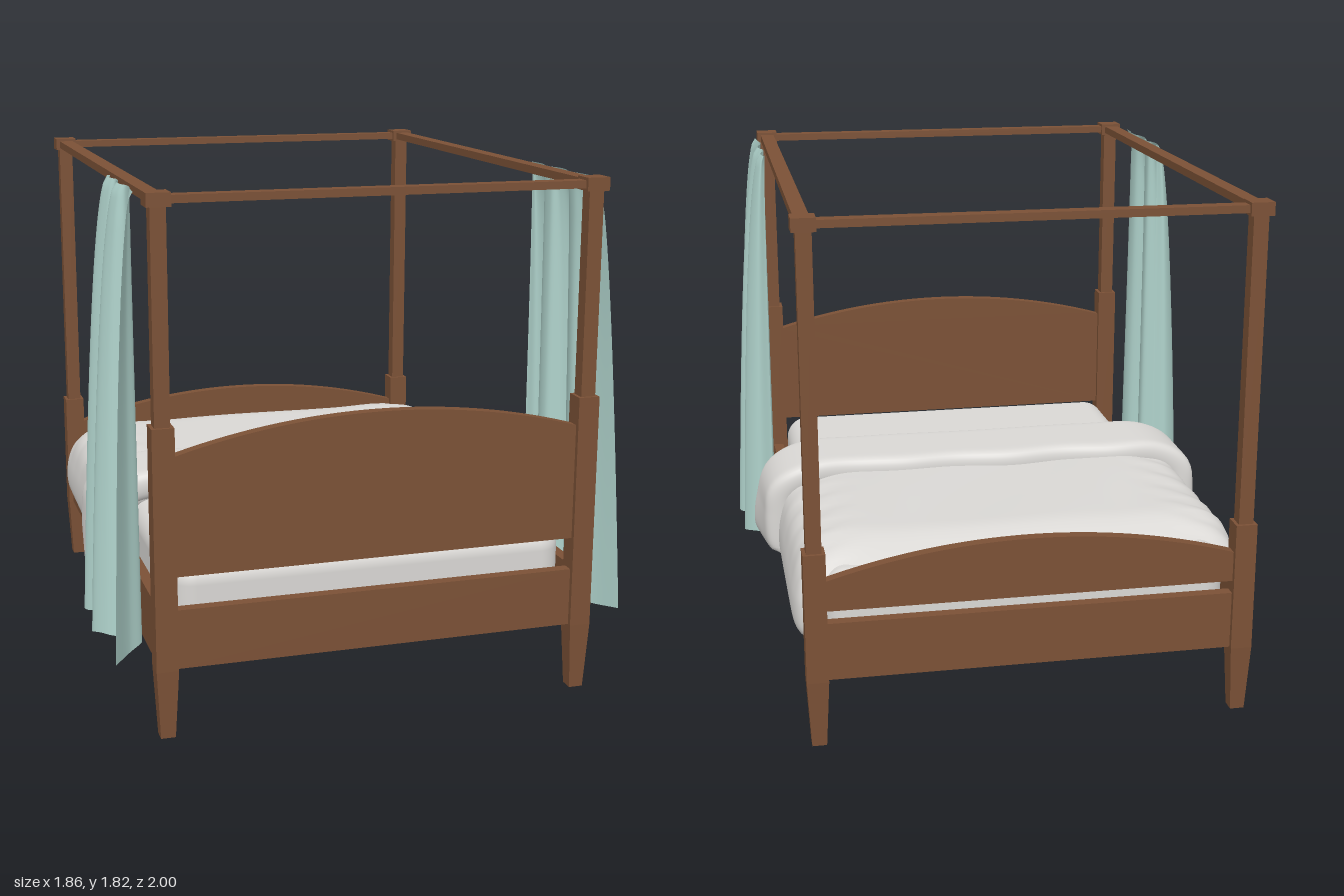
import * as THREE from 'three';
import { mergeVertices } from 'three/addons/utils/BufferGeometryUtils.js';
import { RoundedBoxGeometry } from 'three/addons/geometries/RoundedBoxGeometry.js';

const wood = new THREE.MeshStandardMaterial({ color: 0x7b5136 });
wood.name = 'wood';
const linen = new THREE.MeshStandardMaterial({ color: 0xdad8d5 });
linen.name = 'linen';
const drapery = new THREE.MeshStandardMaterial({ color: 0xafd2cb, side: THREE.DoubleSide });
drapery.name = 'drapery';

const POST_X = 0.74, POST_Z = 0.96;

function add(parent, name, geometry, material, x = 0, y = 0, z = 0) {
  const mesh = new THREE.Mesh(geometry, material);
  mesh.name = name;
  mesh.position.set(x, y, z);
  parent.add(mesh);
  return mesh;
}

// Box given by its size, with its underside at height y
function board(parent, name, w, h, d, x, y, z) {
  return add(parent, name, new THREE.BoxGeometry(w, h, d), wood, x, y + h / 2, z);
}

// Smooth surface from a rule fn(u, v) -> [x, y, z], u and v in 0..1
function surface(nu, nv, fn) {
  const positions = [], index = [];
  for (let i = 0; i <= nu; i++)
    for (let j = 0; j <= nv; j++) positions.push(...fn(i / nu, j / nv));
  for (let i = 0; i < nu; i++)
    for (let j = 0; j < nv; j++) {
      const a = i * (nv + 1) + j, b = a + nv + 1;
      index.push(a, b, a + 1, b, b + 1, a + 1);
    }
  let g = new THREE.BufferGeometry();
  g.setAttribute('position', new THREE.Float32BufferAttribute(positions, 3));
  g.setIndex(index);
  g = mergeVertices(g, 1e-5);
  g.computeVertexNormals();
  return g;
}

// Padded cloth: a flat rounded section swept over the bed from side to side
function drape(half, z0, z1, thick, bend) {
  const pts = [
    ...half.slice(1).reverse().map(([x, y]) => new THREE.Vector3(-x, y, 0)),
    ...half.map(([x, y]) => new THREE.Vector3(x, y, 0)),
  ];
  const path = new THREE.CatmullRomCurve3(pts);
  const zc = (z0 + z1) / 2, hz = (z1 - z0) / 2;
  return surface(110, 64, (u, v) => {
    const w = -Math.cos(Math.PI * u) * 0.35 + (2 * u - 1) * 0.65;
    const t = THREE.MathUtils.clamp((w + 1) / 2, 0, 1);
    const p = path.getPointAt(t), d = path.getTangentAt(t);
    const end = Math.sqrt(Math.max(0, 1 - Math.abs(w) ** 36));
    const c = Math.cos(v * Math.PI * 2), s = Math.sin(v * Math.PI * 2);
    const off = thick * end * Math.sign(s) * Math.sqrt(Math.max(0, 1 - Math.abs(c) ** 12));
    return bend(p.x - d.y * off, p.y + d.x * off, zc + hz * c * (0.93 + 0.07 * end), c);
  });
}

// Arched panel between two posts
function archedPanel(parent, name, bottom, side, crown, z) {
  const w = 0.71, rise = crown - side;
  const r = (w * w + rise * rise) / (2 * rise), a = Math.asin(w / r);
  const shape = new THREE.Shape();
  shape.moveTo(-w, bottom);
  shape.lineTo(w, bottom);
  shape.lineTo(w, side);
  shape.absarc(0, crown - r, r, Math.PI / 2 - a, Math.PI / 2 + a, false);
  shape.closePath();
  const g = new THREE.ExtrudeGeometry(shape, { depth: 0.04, bevelEnabled: false, curveSegments: 32 });
  add(parent, name, g, wood, 0, 0, z - 0.02);
}

function makePost(x, z, sleeveTop) {
  const post = new THREE.Group();
  post.name = 'post';
  post.position.set(x, 0, z);
  const leg = new THREE.CylinderGeometry(0.075 / Math.SQRT2, 0.05 / Math.SQRT2, 0.24, 4, 1).toNonIndexed();
  leg.rotateY(Math.PI / 4);
  leg.computeVertexNormals();
  add(post, 'taperedLeg', leg, wood, 0, 0.12, 0);
  board(post, 'postSleeve', 0.075, sleeveTop - 0.24, 0.075, 0, 0.24, 0);
  board(post, 'upperPost', 0.052, 1.78 - sleeveTop, 0.052, 0, sleeveTop, 0);
  board(post, 'postCap', 0.08, 0.045, 0.08, 0, 1.77, 0);
  return post;
}

// Curtain: folded hem line, gathered flat towards the canopy rail
function makeCurtain(side) {
  const hem = new THREE.CatmullRomCurve3([
    [0.80, 0.35], [0.86, 0.335], [0.92, 0.40], [0.87, 0.46], [0.79, 0.49],
    [0.795, 0.55], [0.87, 0.58], [0.93, 0.63], [0.89, 0.69], [0.80, 0.73],
    [0.785, 0.79], [0.84, 0.85], [0.905, 0.965],
  ].map(([x, z]) => new THREE.Vector3(x, 0, z)));
  return surface(120, 36, (u, v) => {
    const t = v * v * 0.5 + v * 0.5;
    const p = hem.getPoint(u);
    const spread = 0.12 + 0.88 * Math.sqrt(t);
    const zTop = 0.365 + (p.z - 0.34) * 0.79;
    const z = THREE.MathUtils.lerp(zTop, p.z, Math.min(1, 0.12 * Math.min(1, t * 12) + 0.88 * t));
    const x = 0.778 + (p.x - 0.778) * spread;
    const bottom = 0.26 + 0.012 * Math.sin(u * 17) ** 2;
    return [side * x, THREE.MathUtils.lerp(1.803, bottom, t), z];
  });
}

export function createModel() {
  const model = new THREE.Group();
  model.name = 'canopyBed';

  // Posts, side rails and canopy
  for (const sx of [-1, 1]) {
    model.add(makePost(sx * POST_X, POST_Z, 1.067));
    model.add(makePost(sx * POST_X, -POST_Z, 0.70));
    board(model, 'sideRail', 0.04, 0.205, 1.86, sx * POST_X, 0.24, 0);
    board(model, 'canopySideRail', 0.052, 0.028, 1.86, sx * POST_X, 1.778, 0);
  }
  for (const sz of [-1, 1]) {
    board(model, 'endRail', 1.42, 0.205, 0.04, 0, 0.24, sz * POST_Z);
    board(model, 'canopyEndRail', 1.42, 0.026, 0.052, 0, 1.779, sz * POST_Z);
  }

  // Head and foot panels
  archedPanel(model, 'headboard', 0.56, 0.965, 1.067, POST_Z);
  archedPanel(model, 'footboard', 0.49, 0.595, 0.70, -POST_Z);

  // Slats under the mattress
  for (let i = -2; i <= 2; i++) board(model, 'slat', 1.45, 0.025, 0.23, 0, 0.252, i * 0.38);

  // Mattress
  add(model, 'mattress', new RoundedBoxGeometry(1.41, 0.308, 1.84, 8, 0.085), linen, 0, 0.431, 0);

  // Quilt, with creases along its sides and a dip towards the foot
  const smooth = THREE.MathUtils.smoothstep;
  const quilt = drape(
    [[0, 0.6], [0.35, 0.602], [0.62, 0.597], [0.715, 0.56], [0.752, 0.47], [0.764, 0.315]],
    -0.86, 0.2, 0.046,
    (x, y, z) => {
      const ax = Math.abs(x), shoulder = smooth(ax, 0.5, 0.68) * smooth(y, 0.42, 0.56);
      const crease = 0.007 * shoulder * Math.sin(z * 42 + ax * 14 + Math.sin(z * 9));
      const sag = 0.05 * smooth(-z, 0.66, 0.86) * smooth(y, 0.45, 0.6);
      const lift = 0.02 * smooth(-z, 0.2, 0.86) * (1 - smooth(y, 0.3, 0.5));
      return [x, y + crease - sag + lift + 0.003 * Math.sin(x * 8 + z * 6) * smooth(y, 0.5, 0.6), z];
    });
  add(model, 'quilt', quilt, linen);

  // Turned-back fold, flaring towards the head
  const fold = drape(
    [[0, 0.643], [0.45, 0.645], [0.69, 0.635], [0.785, 0.58], [0.81, 0.48], [0.822, 0.325]],
    -0.08, 0.245, 0.054,
    (x, y, z, c) => {
      const low = 1 - smooth(y, 0.35, 0.65);
      const wave = 0.008 * Math.sin(x * 15) * smooth(-c, 0, 1) * (1 - low);
      return [x * (1 + 0.025 * c * low), y - 0.01 * c * low, z + wave];
    });
  add(model, 'quiltFold', fold, linen);

  // Curtains on both sides of the head end
  for (const side of [-1, 1]) add(model, side > 0 ? 'leftCurtain' : 'rightCurtain', makeCurtain(side), drapery);

  return model;
}
